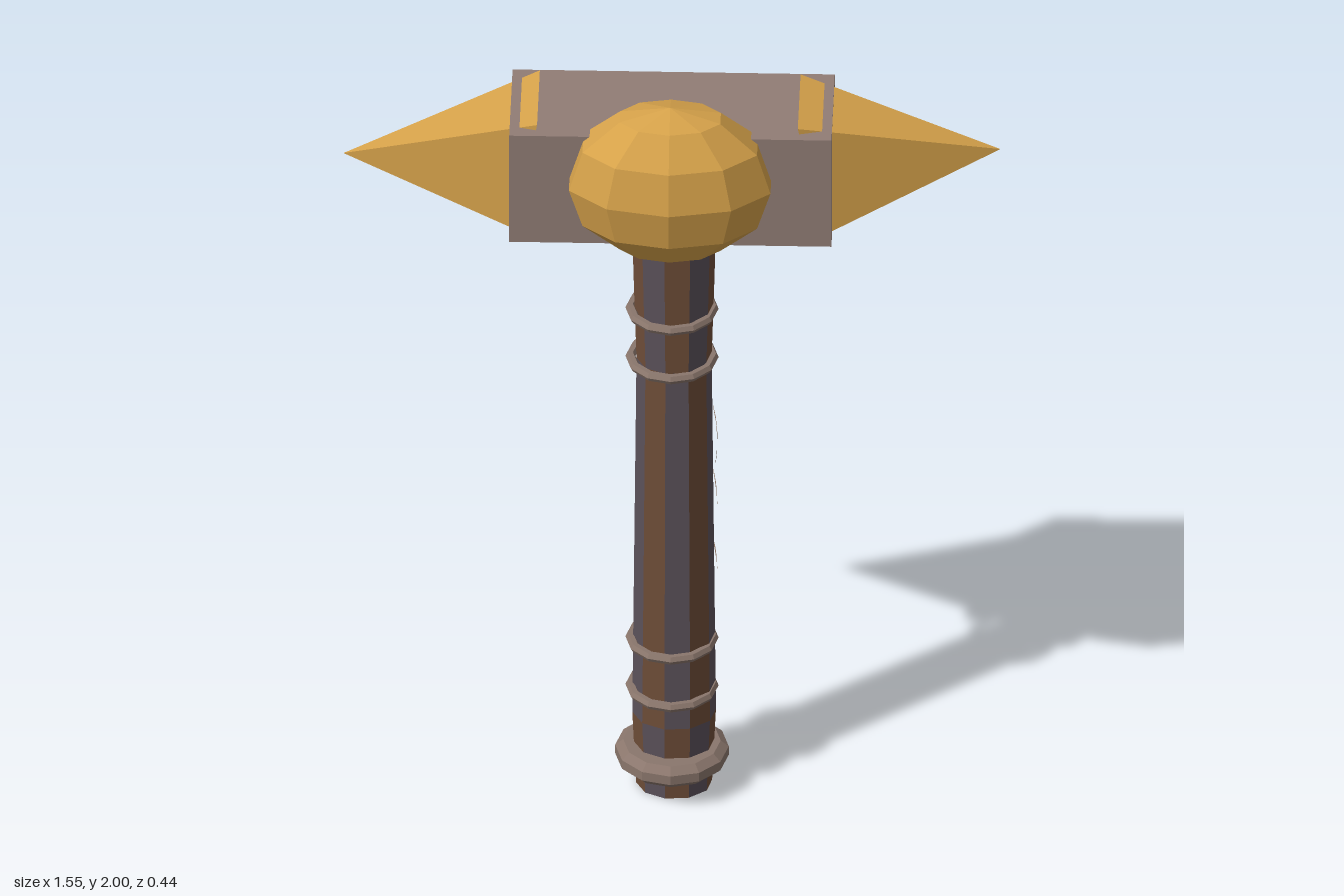
import * as THREE from 'three';
import { ConvexGeometry } from 'three/addons/geometries/ConvexGeometry.js';

const CZ = -0.082; // depth of the handle axis

export function createModel() {
  const model = new THREE.Group();
  model.name = 'warHammer';
  const mat = (name, color) => {
    const m = new THREE.MeshStandardMaterial({ color, flatShading: true });
    m.name = name;
    return m;
  };
  const gold = mat('gold', 0xd6a24a);
  const stone = mat('stone', 0x917d75);
  const wood = mat('brownWood', 0x6e4d38);
  const slate = mat('greyWood', 0x5b515a);
  const strap = mat('strapMetal', 0x8a766c);
  const scratch = mat('scratch', 0x947b6b);
  scratch.side = THREE.DoubleSide;

  const add = (name, geo, material, x = 0, y = 0, z = 0) => {
    const m = new THREE.Mesh(geo, material);
    m.name = name;
    m.position.set(x, y, z);
    model.add(m);
    return m;
  };

  // Hammer head block
  add('headBlock', new THREE.BoxGeometry(0.76, 0.3, 0.283), stone, 0, 1.76, -0.083);

  // Faceted boss on the front of the head
  const boss = new THREE.SphereGeometry(1, 10, 6).rotateY(Math.PI / 2).scale(0.25, 0.207, 0.155);
  add('boss', boss, gold, 0, 1.793, 0.065);

  // Pyramid spikes, sunk into the block with the upper base edge showing on top
  for (const [side, tipY, topX] of [[1, 1.80, 0.30], [-1, 1.76, 0.315]]) {
    const pts = [new THREE.Vector3(side * 0.775, tipY, -0.083)];
    for (const s of [-1, 1]) {
      pts.push(new THREE.Vector3(side * topX, 1.925, -0.083 + s * 0.117));
      pts.push(new THREE.Vector3(side * 0.365, 1.625, -0.083 + s * 0.112));
    }
    add(side > 0 ? 'leftSpike' : 'rightSpike', new ConvexGeometry(pts), gold);
  }

  // Ten-sided handle: strips alternate in colour and swap between sections
  const sections = [[0, 0.09], [0.2, 0.099], [1.2, 0.089], [1.4, 0.095], [1.63, 0.101]];
  const swapped = [true, false, true, true];
  const corner = (i, [y, r]) => {
    const a = THREE.MathUtils.degToRad(-12 + 36 * i);
    return [0.005 + r * Math.sin(a), y, CZ + 0.87 * r * Math.cos(a)];
  };
  const strips = [[], []];
  for (let s = 0; s < 4; s++) {
    for (let i = 0; i < 10; i++) {
      const a = corner(i, sections[s]), b = corner(i + 1, sections[s]);
      const c = corner(i + 1, sections[s + 1]), d = corner(i, sections[s + 1]);
      const grey = (i % 2 === 0) !== swapped[s];
      strips[grey ? 1 : 0].push(...a, ...b, ...c, ...a, ...c, ...d);
    }
  }
  for (let i = 0; i < 10; i++) {
    strips[0].push(0.005, 0, CZ, ...corner(i + 1, sections[0]), ...corner(i, sections[0]));
  }
  strips.forEach((pos, k) => {
    const g = new THREE.BufferGeometry();
    g.setAttribute('position', new THREE.Float32BufferAttribute(pos, 3));
    g.computeVertexNormals();
    add(k ? 'handleGreyStrips' : 'handleBrownStrips', g, k ? slate : wood);
  });

  // Thin binding rings
  for (const y of [0.272, 0.407, 1.2, 1.337, 1.547]) {
    const ring = new THREE.TorusGeometry(0.098, 0.012, 6, 12).rotateX(Math.PI / 2);
    add('bindingRing', ring, strap, 0, y, CZ);
  }

  // Bevelled pommel collar
  const profile = [[0.08, 0.058], [0.115, 0.058], [0.134, 0.076], [0.134, 0.1], [0.115, 0.116], [0.08, 0.116]];
  const collar = new THREE.LatheGeometry(profile.map(([x, y]) => new THREE.Vector2(x, y)), 12);
  add('pommelCollar', collar, strap, 0, 0, CZ);

  // Slanted scratches lying on the left side of the handle
  for (const [y0, z0, y1, z1] of [[0.91, -0.058, 1.04, -0.121], [0.78, -0.088, 0.86, -0.121], [0.6, -0.09, 0.67, -0.126]]) {
    const g = new THREE.PlaneGeometry(1, 1, 4, 1);
    const p = g.attributes.position;
    for (let i = 0; i < p.count; i++) {
      const t = p.getX(i) + 0.5;
      const width = 0.018 * (1 - Math.abs(2 * t - 1) * 0.7);
      const z = z0 + (z1 - z0) * t;
      const x = 0.01 + 0.097 * Math.sqrt(1 - ((z - CZ) / 0.082) ** 2);
      p.setXYZ(i, x, y0 + (y1 - y0) * t + p.getY(i) * width, z);
    }
    g.computeVertexNormals();
    add('scratch', g, scratch);
  }
  return model;
}
